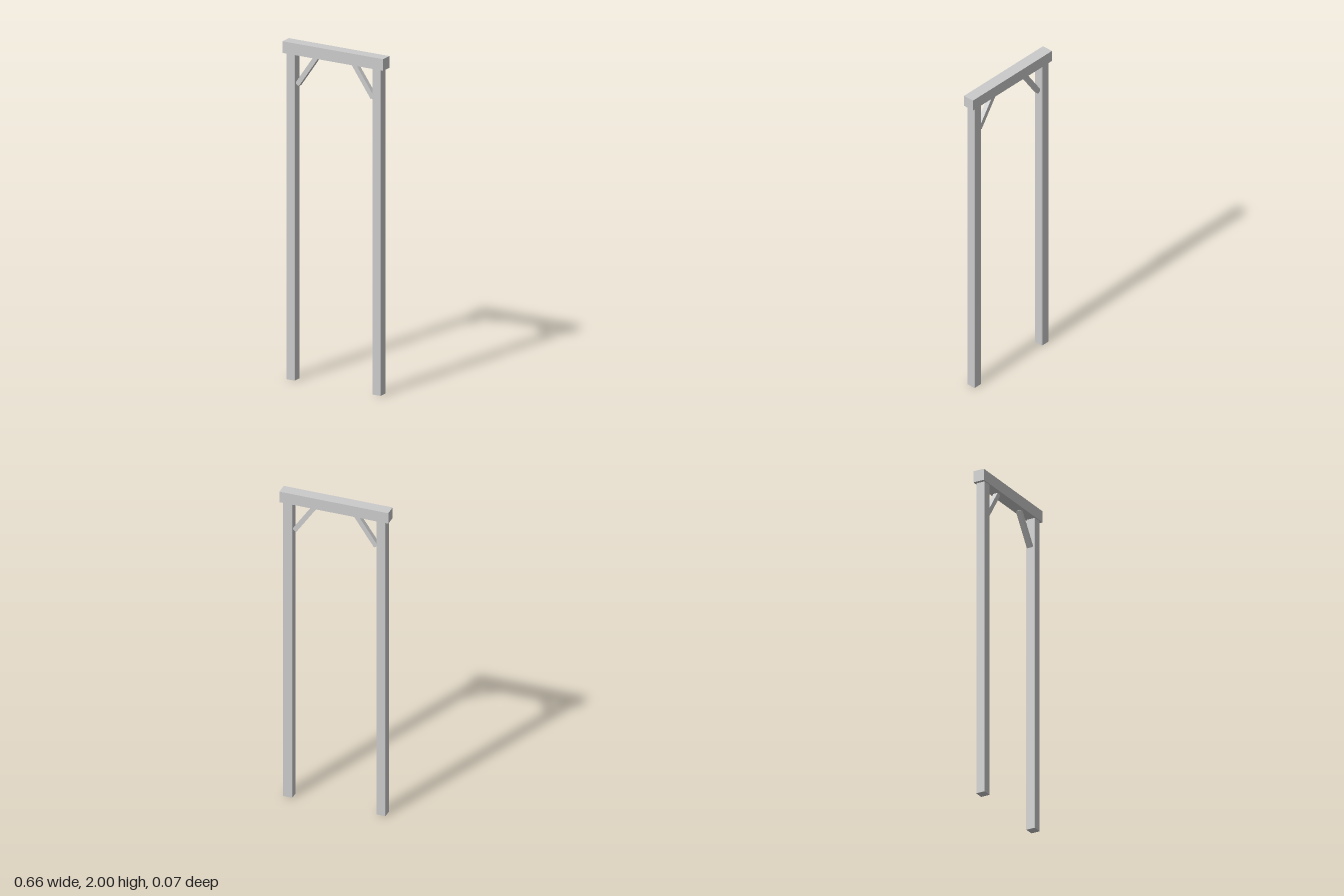
import * as THREE from 'three';

const material = new THREE.MeshStandardMaterial({ color: 0xcccccc, flatShading: true });

function addMesh(group, name, geometry, x, y, z) {
  const mesh = new THREE.Mesh(geometry, material);
  mesh.name = name;
  mesh.position.set(x, y, z);
  group.add(mesh);
  return mesh;
}

// Square timber standing on y = 0, its long edges slightly chamfered
function postGeometry(width, height, chamfer) {
  const h = width / 2, k = h - chamfer;
  const outline = [[h, -k], [h, k], [k, h], [-k, h], [-h, k], [-h, -k], [-k, -h], [k, -h]];
  const shape = new THREE.Shape(outline.map(([x, y]) => new THREE.Vector2(x, y)));
  return new THREE.ExtrudeGeometry(shape, { depth: height, bevelEnabled: false }).rotateX(-Math.PI / 2);
}

export function createModel() {
  const group = new THREE.Group();
  group.name = 'timberGateFrame';

  const beamHeight = 0.069, beamBottom = 2 - beamHeight;

  // Top beam
  addMesh(group, 'topBeam', new THREE.BoxGeometry(0.66, beamHeight, 0.069), 0, 2 - beamHeight / 2, 0);

  // Posts and diagonal braces, mirrored left and right
  const post = postGeometry(0.056, beamBottom, 0.003);
  const low = new THREE.Vector2(0.2475, 1.751);
  const high = new THREE.Vector2(0.1235, beamBottom);
  const brace = new THREE.BoxGeometry(0.028, low.distanceTo(high), 0.028);
  const tilt = Math.atan2(low.x - high.x, high.y - low.y);

  for (const [side, s] of [['left', 1], ['right', -1]]) {
    addMesh(group, `${side}Post`, post, s * 0.282, 0, 0);
    const mesh = addMesh(group, `${side}Brace`, brace, s * (low.x + high.x) / 2, (low.y + high.y) / 2, 0);
    mesh.rotation.z = s * tilt;
  }
  return group;
}
